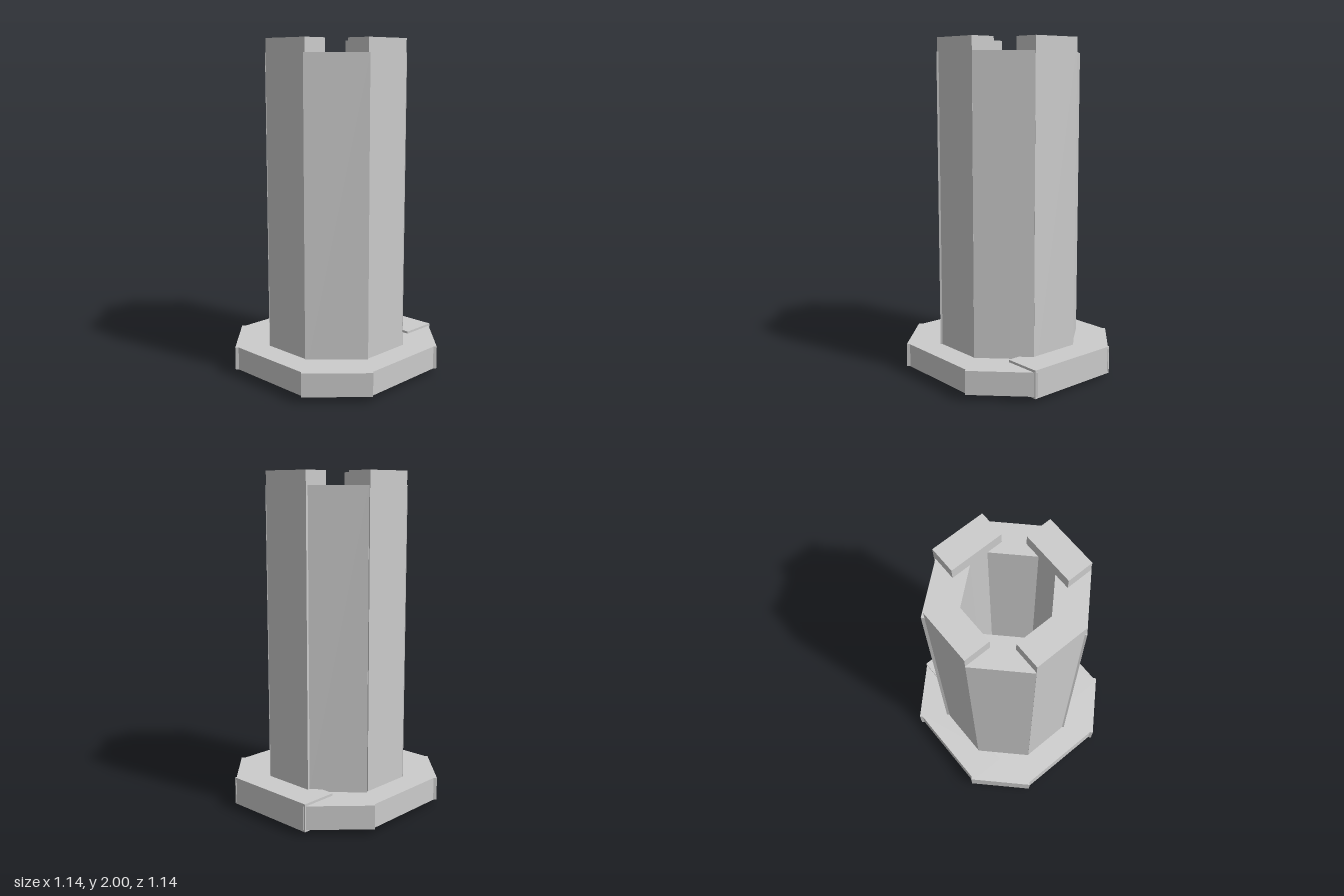
import * as THREE from 'three';

const material = new THREE.MeshStandardMaterial({ color: 0xcccccc, flatShading: true });

// Straight slab standing at a given angle (degrees, 0 = front) around the axis
function slab(name, angle, { inner, outer, width, y0, y1, shift = 0 }) {
  const geometry = new THREE.BoxGeometry(width, y1 - y0, outer - inner);
  geometry.translate(shift, (y0 + y1) / 2, (inner + outer) / 2);
  const mesh = new THREE.Mesh(geometry, material);
  mesh.rotation.y = THREE.MathUtils.degToRad(angle);
  mesh.name = name;
  return mesh;
}

export function createModel() {
  const model = new THREE.Group();
  model.name = 'octagonalTower';

  const tube = new THREE.Group();
  tube.name = 'tube';
  const flange = new THREE.Group();
  flange.name = 'baseFlange';
  model.add(tube, flange);

  // Four tall walls, forming the raised teeth at both ends
  for (const angle of [0, 90, 180, 270]) {
    tube.add(slab('tallWall', angle, { inner: 0.25, outer: 0.405, width: 0.32, y0: 0, y1: 2 }));
  }

  // Four shorter corner walls, one of them slightly skewed
  const corners = [
    { angle: 45, width: 0.345 },
    { angle: 129.6, width: 0.35, shift: 0.03 },
    { angle: 225, width: 0.345 },
    { angle: 315, width: 0.364 },
  ];
  for (const { angle, width, shift } of corners) {
    tube.add(slab('cornerWall', angle, { inner: 0.223, outer: 0.403, width, shift, y0: 0.08, y1: 1.92 }));
  }

  // Flange ring: straight and corner segments
  for (const angle of [0, 180, 270]) {
    flange.add(slab('flangeSide', angle, { inner: 0.332, outer: 0.557, width: 0.6, y0: 0.036, y1: 0.176 }));
  }
  for (const angle of [45, 135, 225, 315]) {
    flange.add(slab('flangeCorner', angle, { inner: 0.383, outer: 0.608, width: 0.4, y0: 0.036, y1: 0.176 }));
  }

  // Thicker segment on the left side
  flange.add(slab('thickFlangeSide', 90, { inner: 0.345, outer: 0.568, width: 0.6, y0: 0.025, y1: 0.19 }));

  return model;
}
